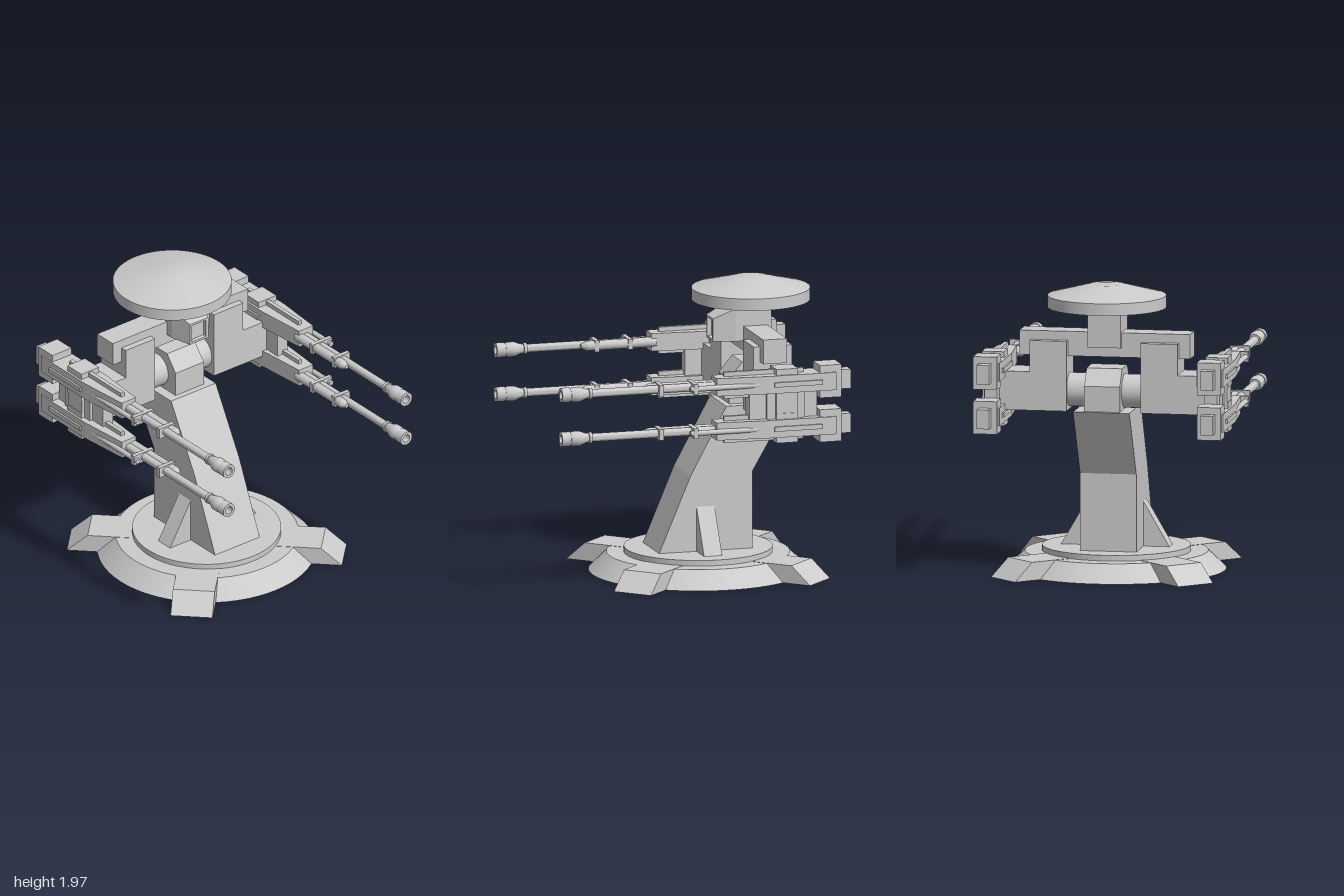
import * as THREE from 'three';
import { toCreasedNormals } from 'three/addons/utils/BufferGeometryUtils.js';

const material = new THREE.MeshStandardMaterial({ color: 0xcccccc });

function add(parent, name, geometry, x = 0, y = 0, z = 0) {
  const mesh = new THREE.Mesh(geometry, material);
  mesh.name = name;
  mesh.position.set(x, y, z);
  parent.add(mesh);
  return mesh;
}

// Box given by its limits on each axis
function box(parent, name, [x0, x1], [y0, y1], [z0, z1]) {
  return add(parent, name, new THREE.BoxGeometry(x1 - x0, y1 - y0, z1 - z0),
    (x0 + x1) / 2, (y0 + y1) / 2, (z0 + z1) / 2);
}

// Rod along z
function rod(parent, name, r0, r1, x, y, z0, z1) {
  const g = new THREE.CylinderGeometry(r1, r0, z1 - z0, 20).rotateX(Math.PI / 2);
  return add(parent, name, g, x, y, (z0 + z1) / 2);
}

// Side profile of [z, y] points, extruded to a width along x
function sideProfile(points, width) {
  const shape = new THREE.Shape(points.map(([z, y]) => new THREE.Vector2(-z, y)));
  return new THREE.ExtrudeGeometry(shape, { depth: width, bevelEnabled: false })
    .translate(0, 0, -width / 2).rotateY(Math.PI / 2);
}

// Rectangular cross-section facing +z; the top edge may sit at another z
function section(halfX, y0, y1, z, zTop = z) {
  return [[-halfX, y0, z], [halfX, y0, z], [halfX, y1, zTop], [-halfX, y1, zTop]];
}

// Flat-faced solid through four-cornered sections running back to front
function loft(rings) {
  const pos = [];
  const quad = (a, b, c, d) => pos.push(...a, ...b, ...c, ...a, ...c, ...d);
  for (let k = 0; k + 1 < rings.length; k++) {
    for (let i = 0; i < 4; i++) {
      const j = (i + 1) % 4;
      quad(rings[k][i], rings[k][j], rings[k + 1][j], rings[k + 1][i]);
    }
  }
  const [a, b, c, d] = rings[0];
  quad(d, c, b, a);
  quad(...rings[rings.length - 1]);
  const g = new THREE.BufferGeometry();
  g.setAttribute('position', new THREE.Float32BufferAttribute(pos, 3));
  g.computeVertexNormals();
  return g;
}

function lathe(points, segments, crease) {
  const g = new THREE.LatheGeometry(points.map(p => new THREE.Vector2(...p)), segments);
  return crease ? toCreasedNormals(g, crease) : g;
}

function createBase() {
  const base = new THREE.Group();
  base.name = 'base';
  base.position.z = -0.18;
  add(base, 'baseRing', new THREE.CylinderGeometry(0.61, 0.73, 0.12, 64), 0, 0.06, 0);
  add(base, 'turntable', new THREE.CylinderGeometry(0.495, 0.495, 0.04, 64), 0, 0.138, 0);
  const foot = loft([section(0.14, 0, 0.122, 0.4), section(0.14, 0, 0.122, 0.92, 0.78)]);
  for (let i = 0; i < 4; i++) {
    add(base, 'foot', foot).rotation.y = Math.PI / 4 + i * Math.PI / 2;
  }
  return base;
}

function createPillar() {
  const pillar = new THREE.Group();
  pillar.name = 'pillar';
  add(pillar, 'column', sideProfile([[0.15, 0.15], [-0.07, 0.67], [-0.32, 1.13],
    [-0.76, 1.13], [-0.5, 0.68], [-0.5, 0.15]], 0.38));
  add(pillar, 'pivotHead', sideProfile([[-0.36, 1.1], [-0.36, 1.3], [-0.45, 1.41],
    [-0.64, 1.41], [-0.73, 1.3], [-0.73, 1.1]], 0.24));
  add(pillar, 'axle', new THREE.CylinderGeometry(0.113, 0.113, 0.56, 32).rotateZ(Math.PI / 2), 0, 1.25, -0.55);
  // Triangular braces on both sides
  const web = new THREE.Shape([[-0.37, 0.15], [0.37, 0.15], [0.19, 0.46], [-0.19, 0.46]]
    .map(p => new THREE.Vector2(...p)));
  add(pillar, 'sideBraces', new THREE.ExtrudeGeometry(web, { depth: 0.125, bevelEnabled: false }), 0, 0, -0.237);
  return pillar;
}

function createSensor() {
  const sensor = new THREE.Group();
  sensor.name = 'sensor';
  // Tapered housing with a recessed window
  add(sensor, 'sensorHousing', loft([
    section(0.113, 1.55, 1.77, -0.655), section(0.113, 1.55, 1.77, -0.405),
    section(0.078, 1.55, 1.705, -0.26), section(0.06, 1.565, 1.69, -0.26),
    section(0.06, 1.565, 1.69, -0.29)]));
  box(sensor, 'dishNeck', [-0.077, 0.077], [1.75, 1.83], [-0.615, -0.445]);
  add(sensor, 'dishRim', new THREE.CylinderGeometry(0.395, 0.395, 0.08, 64), 0, 1.85, -0.545);
  add(sensor, 'dishTop', lathe([[0.395, 1.889], [0.11, 1.965], [0, 1.966]], 64), 0, 0, -0.545);
  return sensor;
}

// One gun, centred on its barrel axis
function createGun(y) {
  const gun = new THREE.Group();
  gun.name = 'gun';
  gun.position.set(0.755, y, 0);
  add(gun, 'receiver', loft([section(0.09, -0.06, 0.06, -0.885),
    section(0.09, -0.06, 0.06, -0.42), section(0.06, -0.06, 0.06, -0.065)]));
  box(gun, 'sideRib', [-0.103, 0.103], [-0.016, 0.016], [-0.79, -0.455]);
  box(gun, 'centreRail', [-0.014, 0.014], [-0.09, 0.09], [-0.68, -0.13]);
  box(gun, 'clampBlock', [-0.075, 0.075], [-0.1, 0.1], [-0.625, -0.475]);
  box(gun, 'breech', [-0.08, 0.08], [-0.11, 0.11], [-0.925, -0.775]);
  box(gun, 'tailBlock', [-0.042, 0.042], [-0.065, 0.065], [-1, -0.9]);
  // Barrel with collar, flared muzzle and open bore
  add(gun, 'barrel', lathe([[0.028, -0.1], [0.028, 0.785], [0.038, 0.787], [0.038, 0.808],
    [0.031, 0.81], [0.034, 0.83], [0.05, 0.87], [0.05, 0.915], [0.042, 0.935], [0.049, 0.938],
    [0.049, 1], [0.028, 1], [0.028, 0.92], [0, 0.92]], 24, 0.6).rotateX(Math.PI / 2));
  // Feed tubes beside the barrel
  rod(gun, 'innerTube', 0.033, 0.033, -0.042, 0, -0.1, 0.38);
  rod(gun, 'innerTubeTip', 0.033, 0.014, -0.042, 0, 0.38, 0.42);
  rod(gun, 'outerTube', 0.018, 0.018, 0.068, 0, -0.45, 0.12);
  box(gun, 'tubeClamp', [-0.08, 0.088], [-0.035, 0.035], [0.07, 0.1]);
  box(gun, 'tubeClamp', [-0.075, 0.055], [-0.038, 0.038], [0.3, 0.33]);
  return gun;
}

// Left arm with its pair of guns
function createArm() {
  const arm = new THREE.Group();
  arm.name = 'arm';
  const depth = [-0.68, -0.415];
  box(arm, 'yokePlate', [0.25, 0.5], [1.12, 1.59], depth);
  box(arm, 'shoulder', [0.5, 0.735], [1.12, 1.38], depth);
  box(arm, 'gunMount', [0.7, 0.785], [1.15, 1.35], [-0.77, -0.3]);
  box(arm, 'mountPlate', [0.7, 0.805], [1.15, 1.35], depth);
  box(arm, 'mountStrap', [0.74, 0.825], [1.15, 1.35], [-0.625, -0.475]);
  arm.add(createGun(1.4), createGun(1.1));
  return arm;
}

// Mirror a group across x, flipping the winding so faces stay outward
function mirrored(source) {
  const copy = source.clone();
  copy.traverse(o => {
    o.position.x *= -1;
    if (!o.isMesh) return;
    const g = o.geometry.index ? o.geometry.toNonIndexed() : o.geometry.clone();
    g.scale(-1, 1, 1);
    for (const attr of Object.values(g.attributes)) {
      const { array, itemSize: n } = attr;
      for (let t = 0; t < array.length; t += 3 * n) {
        for (let k = 0; k < n; k++) {
          const swap = array[t + n + k];
          array[t + n + k] = array[t + 2 * n + k];
          array[t + 2 * n + k] = swap;
        }
      }
    }
    o.geometry = g;
  });
  return copy;
}

export function createModel() {
  const model = new THREE.Group();
  model.name = 'turret';
  const arm = createArm();
  model.add(createBase(), createPillar(), createSensor(), arm, mirrored(arm));
  box(model, 'crossbar', [-0.575, 0.575], [1.485, 1.65], [-0.625, -0.46]);
  return model;
}
